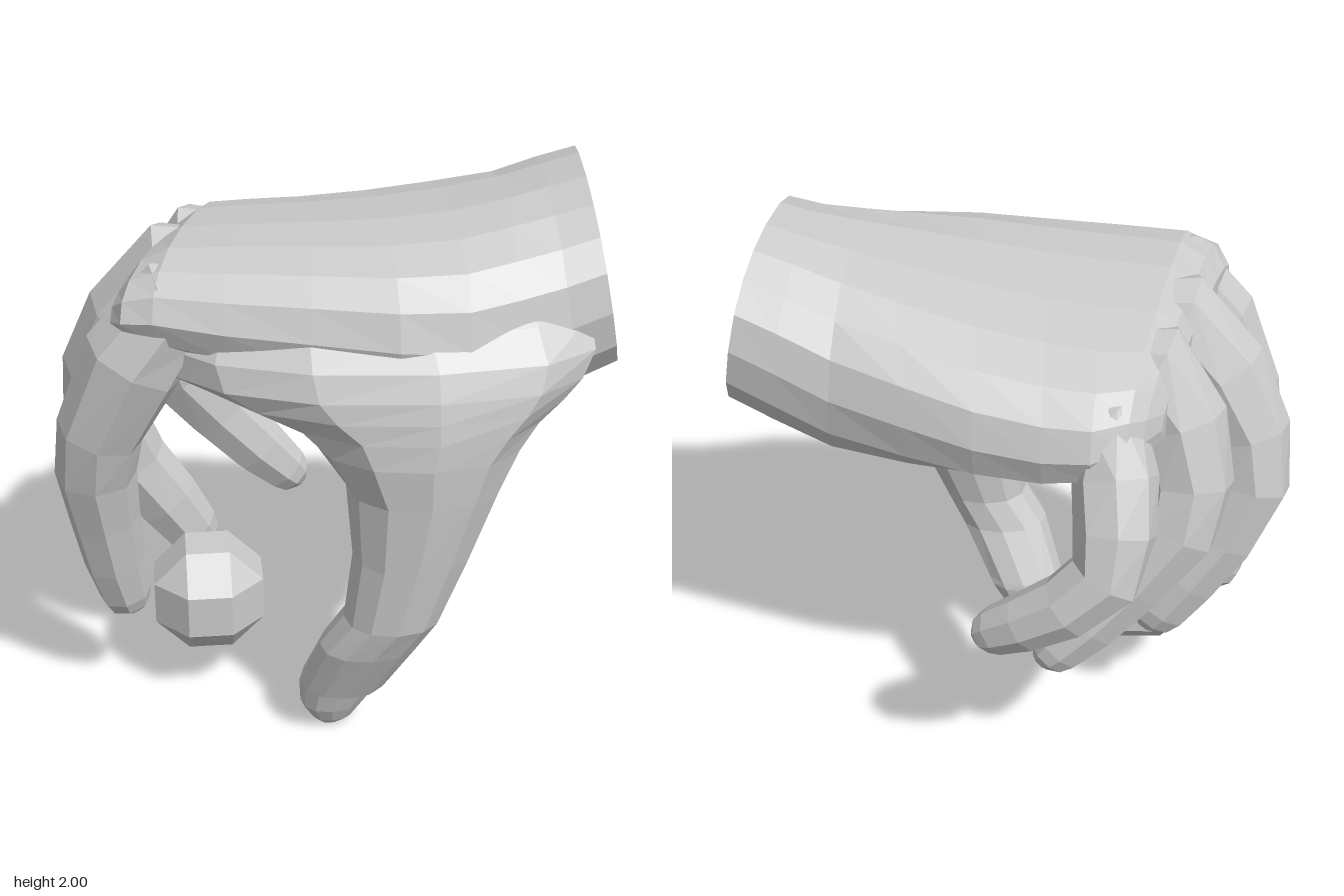
import * as THREE from 'three';
import { ConvexGeometry } from 'three/addons/geometries/ConvexGeometry.js';

const V = (x, y, z) => new THREE.Vector3(x, y, z);
const material = new THREE.MeshStandardMaterial({ color: 0xcccccc, flatShading: true });

// Skin a list of point rings and close both ends with fans
function loft(name, rings) {
  const n = rings[0].length;
  const tris = [];
  const centre = (ring) => ring.reduce((s, p) => s.add(p), V(0, 0, 0)).divideScalar(n);
  for (let i = 0; i < rings.length - 1; i++) {
    for (let j = 0; j < n; j++) {
      const k = (j + 1) % n;
      const [a, b, c, d] = [rings[i][j], rings[i][k], rings[i + 1][k], rings[i + 1][j]];
      tris.push([a, b, c], [a, c, d]);
    }
  }
  const first = rings[0], last = rings[rings.length - 1];
  const c0 = centre(first), c1 = centre(last);
  for (let j = 0; j < n; j++) {
    const k = (j + 1) % n;
    tris.push([c0, first[k], first[j]], [c1, last[j], last[k]]);
  }
  // A negative enclosed volume means the faces point inwards
  const volume = tris.reduce((s, [a, b, c]) => s + a.dot(b.clone().cross(c)), 0);
  const points = tris.flatMap(([a, b, c]) => (volume < 0 ? [a, c, b] : [a, b, c]));
  const geometry = new THREE.BufferGeometry().setFromPoints(points);
  geometry.computeVertexNormals();
  const mesh = new THREE.Mesh(geometry, material);
  mesh.name = name;
  return mesh;
}

// Ring around the unit circle, slightly squared
function ringOf(sides, square, place) {
  const power = (v) => Math.sign(v) * Math.abs(v) ** square;
  return Array.from({ length: sides }, (_, j) => {
    const a = (j / sides) * Math.PI * 2;
    return place(power(Math.cos(a)), power(Math.sin(a)));
  });
}

// Palm and wrist: x, front z, back z, top y, bottom y, roll, slant with z, slant with y, hollow
function palm() {
  const sections = [
    [0.91, 0.60, -0.33, 2.0, 1.355, -0.08, -0.12, -0.2, 0],
    [0.77, 0.61, -0.36, 1.965, 1.28, -0.06, -0.1, -0.15, 0],
    [0.60, 0.65, -0.40, 1.925, 1.21, 0, -0.06, -0.08, 0],
    [0.38, 0.71, -0.49, 1.885, 1.20, 0.03, 0, 0, 0.03],
    [0.15, 0.72, -0.57, 1.85, 1.22, 0.07, 0, 0, 0.08],
    [-0.10, 0.67, -0.62, 1.825, 1.25, 0.1, -0.04, 0, 0.1],
    [-0.32, 0.62, -0.645, 1.81, 1.30, 0.11, -0.14, 0, 0.1],
    [-0.49, 0.57, -0.62, 1.80, 1.37, 0.11, -0.24, 0, 0.08],
    [-0.57, 0.53, -0.57, 1.75, 1.41, 0.11, -0.3, 0, 0.04],
    [-0.62, 0.45, -0.48, 1.68, 1.45, 0.11, -0.32, 0, 0],
  ];
  return loft('palm', sections.map(([x, zf, zb, top, bottom, roll, sz, sy, hollow]) =>
    ringOf(18, 0.86, (c, s) => {
      const dz = (c * (zf - zb)) / 2;
      const dy = (s * (top - bottom)) / 2 + roll * dz + (s < 0 ? hollow * (1 - c * c) : 0);
      return V(x + sz * dz + sy * dy, (top + bottom) / 2 + dy, (zf + zb) / 2 + dz);
    })));
}

// Thumb with its fleshy base and web: y, x range, z range, x of the foremost point
function thumb() {
  const levels = [
    [1.74, -0.42, 0.82, 0.12, 0.54, 0.25],
    [1.62, -0.56, 0.82, 0.12, 0.68, 0.25],
    [1.52, -0.62, 0.80, 0.12, 0.76, 0.27],
    [1.43, -0.60, 0.74, 0.12, 0.795, 0.27],
    [1.36, -0.46, 0.69, 0.12, 0.81, 0.27],
    [1.29, -0.26, 0.63, 0.17, 0.82, 0.27],
    [1.20, -0.12, 0.59, 0.25, 0.825, 0.25],
    [1.05, -0.01, 0.52, 0.36, 0.815, 0.25],
    [0.80, 0.01, 0.42, 0.44, 0.795, 0.21],
    [0.55, -0.02, 0.315, 0.47, 0.775, 0.15],
    [0.42, -0.10, 0.25, 0.45, 0.73, 0.07],
    [0.21, -0.165, 0.145, 0.365, 0.64, -0.01],
    [0.185, -0.165, 0.13, 0.36, 0.58, -0.02],
    [0.09, -0.16, 0.07, 0.36, 0.55, -0.05],
    [0.03, -0.12, 0.03, 0.39, 0.52, -0.05],
    [0.0, -0.09, -0.02, 0.43, 0.49, -0.055],
  ];
  return loft('thumb', levels.map(([y, x0, x1, z0, z1, peak]) => {
    const mid = (x0 + x1) / 2;
    return ringOf(12, 0.9, (c, s) => V(
      mid + (c * (x1 - x0)) / 2 + Math.max(s, 0) * (peak - mid), y,
      (z0 + z1) / 2 + (s * (z1 - z0)) / 2));
  }));
}

// Finger: x, y, z, radius along the bone line, with a rounded tip added
function finger(name, bones) {
  const stations = bones.map(([x, y, z, r]) => ({ p: V(x, y, z), r }));
  const end = stations[stations.length - 1];
  const tipDir = end.p.clone().sub(stations[stations.length - 2].p).normalize();
  for (const [step, shrink] of [[0.55, 0.8], [0.92, 0.4]]) {
    stations.push({ p: end.p.clone().addScaledVector(tipDir, end.r * step), r: end.r * shrink });
  }
  return loft(name, stations.map(({ p, r }, i) => {
    const before = stations[Math.max(i - 1, 0)].p;
    const after = stations[Math.min(i + 1, stations.length - 1)].p;
    const along = after.clone().sub(before).normalize();
    const across = V(0, 0, 1).addScaledVector(along, -along.z).normalize();
    const up = along.clone().cross(across);
    return ringOf(8, 0.9, (c, s) => p.clone()
      .addScaledVector(across, c * r).addScaledVector(up, s * r));
  }));
}

const fingers = {
  indexFinger: [
    [-0.3, 1.63, 0.36, 0.13], [-0.57, 1.635, 0.39, 0.17], [-0.70, 1.46, 0.39, 0.175],
    [-0.83, 1.18, 0.35, 0.15], [-0.855, 1.0, 0.31, 0.142], [-0.835, 0.8, 0.275, 0.125],
    [-0.81, 0.6, 0.24, 0.112], [-0.78, 0.45, 0.215, 0.095],
  ],
  middleFinger: [
    [-0.3, 1.64, 0.07, 0.13], [-0.56, 1.65, 0.05, 0.165], [-0.71, 1.46, 0.01, 0.165],
    [-0.82, 1.24, -0.045, 0.15], [-0.835, 1.05, -0.08, 0.147], [-0.74, 0.83, -0.105, 0.135],
    [-0.62, 0.65, -0.12, 0.127], [-0.53, 0.51, -0.13, 0.108],
  ],
  ringFinger: [
    [-0.2, 1.6, -0.2, 0.13], [-0.46, 1.61, -0.24, 0.165], [-0.55, 1.44, -0.29, 0.16],
    [-0.59, 1.23, -0.35, 0.15], [-0.55, 1.06, -0.39, 0.145], [-0.40, 0.86, -0.42, 0.127],
    [-0.25, 0.69, -0.44, 0.117], [-0.14, 0.575, -0.455, 0.095],
  ],
  littleFinger: [
    [-0.12, 1.52, -0.42, 0.11], [-0.30, 1.53, -0.47, 0.145], [-0.32, 1.38, -0.555, 0.145],
    [-0.32, 1.22, -0.64, 0.14], [-0.29, 1.07, -0.69, 0.127], [-0.16, 0.955, -0.7, 0.112],
    [-0.02, 0.86, -0.67, 0.1], [0.08, 0.795, -0.635, 0.085],
  ],
};

// Small faceted ball: a square on each of six sides, joined by bevels
function ball() {
  const points = [];
  const far = 0.2, near = 0.08;
  for (const a of [-1, 1]) for (const b of [-1, 1]) for (const c of [-1, 1]) {
    points.push(
      V(a * far, b * near, c * near), V(a * near, b * far, c * near), V(a * near, b * near, c * far));
  }
  const mesh = new THREE.Mesh(new ConvexGeometry(points), material);
  mesh.name = 'ball';
  mesh.position.set(-0.475, 0.395, 0.15);
  return mesh;
}

export function createModel() {
  const model = new THREE.Group();
  model.name = 'handWithBall';
  model.add(palm(), thumb(), ball());
  for (const [name, bones] of Object.entries(fingers)) model.add(finger(name, bones));
  return model;
}
